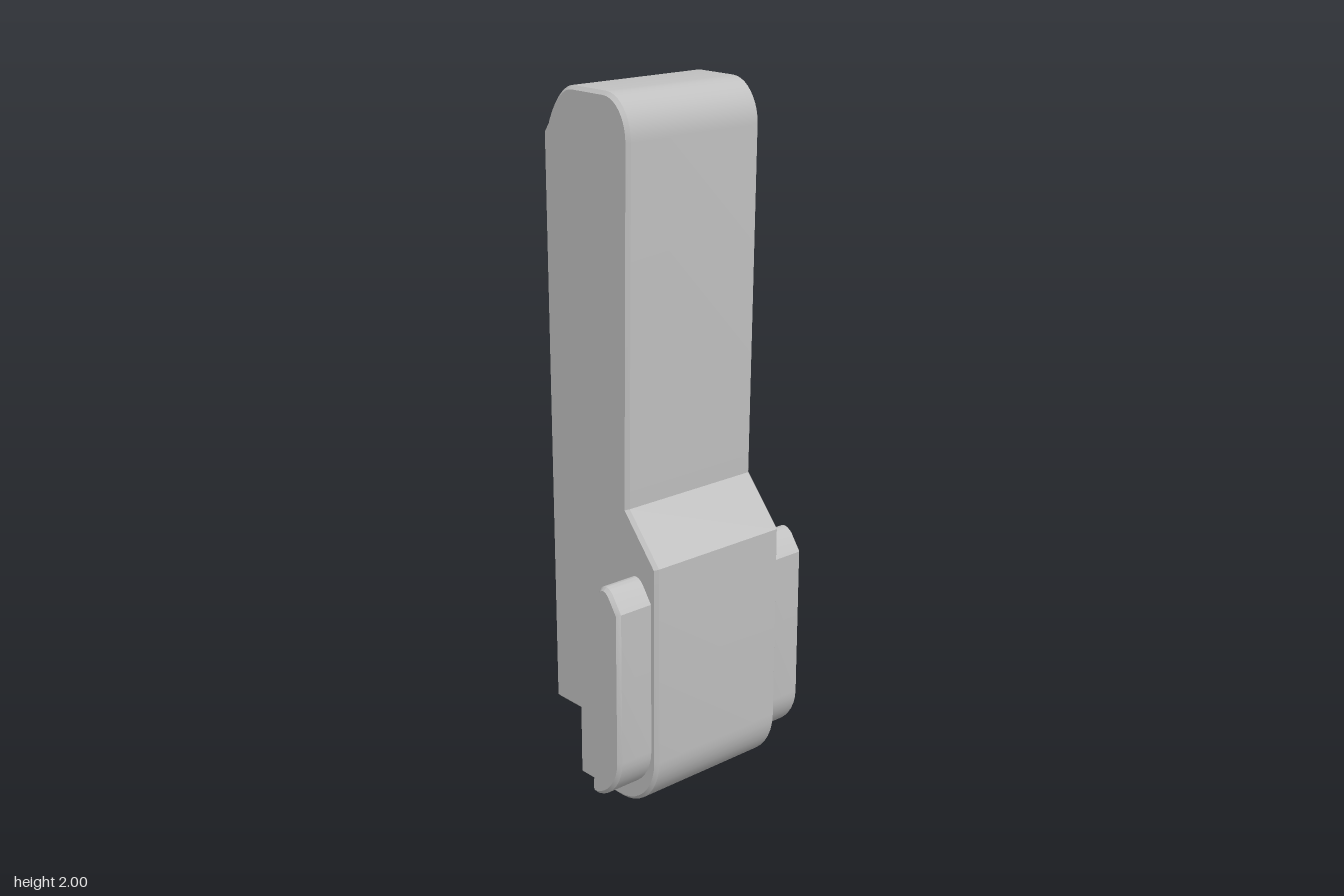
import * as THREE from 'three';
import { toCreasedNormals } from 'three/addons/utils/BufferGeometryUtils.js';

const BEVEL = 0.01;
const HALF_WIDTH = 0.23;
const KNOB_END = 0.345;

// Rounded corner from the path's current point to (x, y) around corner (cx, cy)
function corner(path, cx, cy, x, y) {
  const p = path.currentPoint, k = 0.55;
  path.bezierCurveTo(
    p.x + (cx - p.x) * k, p.y + (cy - p.y) * k,
    x + (cx - x) * k, y + (cy - y) * k, x, y);
}

// Side outline as (z, y): over the top, down the front, under the base to the ledge
function bodyProfile() {
  const p = new THREE.Path().moveTo(-0.224, 1.87);
  corner(p, -0.19, 2, -0.11, 2);
  p.lineTo(0.02, 2);
  corner(p, 0.117, 2, 0.117, 1.88);
  p.lineTo(0.102, 0.89).lineTo(0.222, 0.752).lineTo(0.222, 0.17);
  corner(p, 0.222, 0, 0.06, 0);
  p.lineTo(-0.12, 0).lineTo(-0.12, 0.208).lineTo(-0.217, 0.208);
  return p.getPoints(10);
}

// Closed outline of a side grip, in the same direction
function gripProfile() {
  const p = new THREE.Path().moveTo(0.108, 0.68);
  corner(p, 0.112, 0.708, 0.138, 0.708);
  corner(p, 0.155, 0.708, 0.166, 0.693);
  p.lineTo(0.2, 0.645).lineTo(0.2, 0.2);
  corner(p, 0.2, 0.09, 0.1, 0.066);
  corner(p, 0.076, 0.06, 0.077, 0.085);
  p.lineTo(0.108, 0.68);
  return p.getPoints(8);
}

// Move an outline inwards with mitred corners
function inset(points, d, closed) {
  const n = points.length;
  const normal = (a, b) => new THREE.Vector2(a.y - b.y, b.x - a.x).normalize();
  return points.map((p, i) => {
    const prev = i > 0 ? points[i - 1] : closed ? points[n - 2] : null;
    const next = i < n - 1 ? points[i + 1] : closed ? points[1] : null;
    const a = normal(prev ?? p, prev ? p : next);
    const b = normal(next ? p : prev, next ?? p);
    const m = a.clone().add(b).divideScalar(1 + a.dot(b));
    return p.clone().addScaledVector(m, -d);
  });
}

// Skin between outlines placed at increasing x; rings are [x, points]
function skin(rings) {
  const n = rings[0][1].length, pos = [], index = [];
  for (const [x, pts] of rings) for (const p of pts) pos.push(x, p.y, p.x);
  for (let r = 0; r < rings.length - 1; r++) {
    for (let i = 0; i < n - 1; i++) {
      const a = r * n + i, b = a + n;
      index.push(a, a + 1, b + 1, a, b + 1, b);
    }
  }
  const g = new THREE.BufferGeometry();
  g.setAttribute('position', new THREE.Float32BufferAttribute(pos, 3));
  g.setIndex(index);
  return toCreasedNormals(g, 0.5);
}

// Flat side panel at x, facing outwards on the given side
function panel(points, side, x, hole) {
  const flat = (pts) => pts.map((p) => new THREE.Vector2(-side * p.x, p.y));
  const shape = new THREE.Shape(flat(points));
  if (hole) shape.holes.push(new THREE.Path(flat(hole)));
  return new THREE.ShapeGeometry(shape).rotateY(side * Math.PI / 2).translate(side * x, 0, 0);
}

export function createModel() {
  const model = new THREE.Group();
  model.name = 'clipHousing';
  const grey = new THREE.MeshStandardMaterial({ color: 0xc0c0c0, side: THREE.DoubleSide });
  grey.name = 'grey plastic';
  const add = (geometry, name) => {
    const mesh = new THREE.Mesh(geometry, grey);
    mesh.name = name;
    model.add(mesh);
  };

  const body = bodyProfile();
  const bodyInner = inset(body, BEVEL, false);
  bodyInner[0].x = body[0].x; // keep the open back edge straight
  const grip = gripProfile();
  const gripInner = inset(grip, BEVEL, true);

  // Thin shell, open at the back, with bevelled side edges
  const w = HALF_WIDTH;
  add(skin([[-w, bodyInner], [-w + BEVEL, body], [w - BEVEL, body], [w, bodyInner]]), 'shell');

  // Side walls and the hollow grips that open through them
  for (const side of [1, -1]) {
    const label = side > 0 ? 'left' : 'right';
    add(panel(bodyInner, side, w, grip), label + 'Wall');
    const rings = [[side * w, grip], [side * (KNOB_END - BEVEL), grip], [side * KNOB_END, gripInner]];
    if (side < 0) rings.reverse();
    add(skin(rings), label + 'Grip');
    add(panel(gripInner, side, KNOB_END), label + 'GripEnd');
  }
  return model;
}
